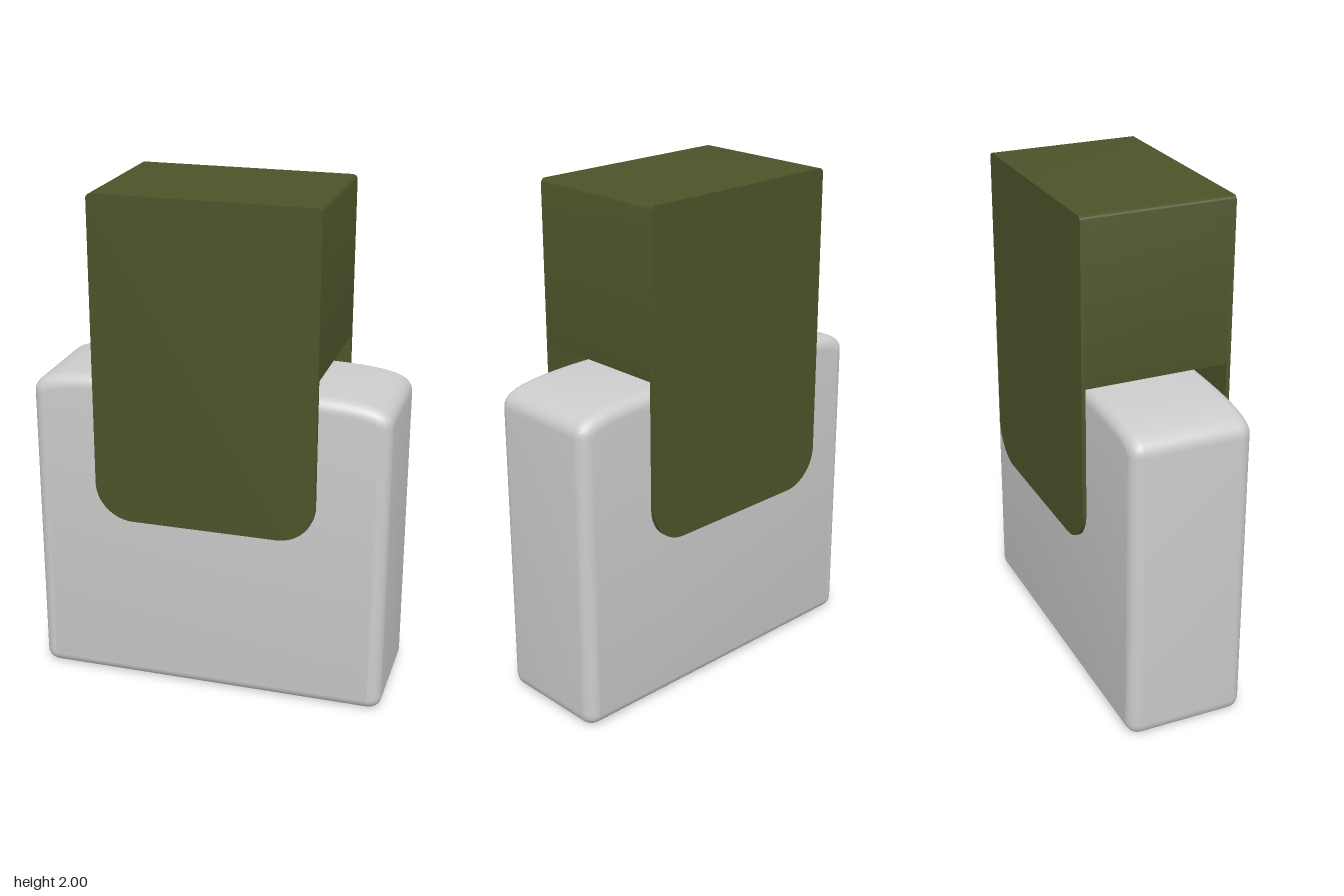
import * as THREE from 'three';
import { toCreasedNormals } from 'three/addons/utils/BufferGeometryUtils.js';

const olive = new THREE.MeshStandardMaterial({ color: 0x4b5329 });
olive.name = 'olive';
const paleGrey = new THREE.MeshStandardMaterial({ color: 0xcccccc });
paleGrey.name = 'pale grey';

function addPart(group, name, geometry, material) {
  const mesh = new THREE.Mesh(geometry, material);
  mesh.name = name;
  group.add(mesh);
  return mesh;
}

// Front outline of the bottle: small bottom corners, softly domed shoulders
function bottleOutline() {
  const w = 0.705, r = 0.06;
  const s = new THREE.Shape();
  s.moveTo(-w + r, 0);
  s.lineTo(w - r, 0);
  s.quadraticCurveTo(w, 0, w, r);
  s.lineTo(w, 1.19);
  s.bezierCurveTo(w, 1.25, 0.66, 1.288, 0.32, 1.288);
  s.lineTo(-0.32, 1.288);
  s.bezierCurveTo(-0.66, 1.288, -w, 1.25, -w, 1.19);
  s.lineTo(-w, r);
  s.quadraticCurveTo(-w, 0, -w + r, 0);
  return s;
}

// Cap plate: tight top corners, large round bottom corners
function flapOutline() {
  const w = 0.437, top = 2, bottom = 0.715, r = 0.15, t = 0.02;
  const s = new THREE.Shape();
  s.moveTo(-w + r, bottom);
  s.lineTo(w - r, bottom);
  s.absarc(w - r, bottom + r, r, -Math.PI / 2, 0);
  s.lineTo(w, top - t);
  s.absarc(w - t, top - t, t, 0, Math.PI / 2);
  s.lineTo(-w + t, top);
  s.absarc(-w + t, top - t, t, Math.PI / 2, Math.PI);
  s.lineTo(-w, bottom + r);
  s.absarc(-w + r, bottom + r, r, Math.PI, Math.PI * 1.5);
  return s;
}

// Thin arch forming the cap's top and side walls, open underneath
function sleeveOutline() {
  const w = 0.437, top = 2, bottom = 1.365, t = 0.02, wall = 0.016;
  const s = new THREE.Shape();
  s.moveTo(w - wall, bottom);
  s.lineTo(w, bottom);
  s.lineTo(w, top - t);
  s.absarc(w - t, top - t, t, 0, Math.PI / 2);
  s.lineTo(-w + t, top);
  s.absarc(-w + t, top - t, t, Math.PI / 2, Math.PI);
  s.lineTo(-w, bottom);
  s.lineTo(-w + wall, bottom);
  s.lineTo(-w + wall, top - wall);
  s.lineTo(w - wall, top - wall);
  return s;
}

function extrude(shape, depth) {
  const g = new THREE.ExtrudeGeometry(shape, { depth, bevelEnabled: false, curveSegments: 12 });
  g.translate(0, 0, -depth / 2);
  return toCreasedNormals(g, 0.6);
}

export function createModel() {
  const model = new THREE.Group();
  model.name = 'bottle';
  const bottleZ = 0.019;

  // Bottle body with all edges rounded
  const bevel = 0.05, depth = 0.477;
  const body = new THREE.ExtrudeGeometry(bottleOutline(), {
    depth: depth - 2 * bevel, curveSegments: 14,
    bevelThickness: bevel, bevelSize: bevel, bevelOffset: -bevel, bevelSegments: 8,
  });
  body.translate(0, 0, bevel - depth / 2);
  addPart(model, 'body', toCreasedNormals(body, 0.7), paleGrey).position.z = bottleZ;

  // Threaded neck: rounded rings stacked up inside the cap
  const profile = [new THREE.Vector2(0.185, 1.27), new THREE.Vector2(0.185, 1.295)];
  for (let i = 0; i < 4; i++) {
    const y = 1.296 + i * 0.042;
    for (const [r, dy] of [[0.2, 0], [0.21, 0.008], [0.212, 0.018], [0.21, 0.028], [0.2, 0.036]]) {
      profile.push(new THREE.Vector2(r, y + dy));
    }
  }
  profile.push(new THREE.Vector2(0.185, 1.47), new THREE.Vector2(0.185, 1.6), new THREE.Vector2(0, 1.6));
  const neck = toCreasedNormals(new THREE.LatheGeometry(profile, 40), 0.8);
  addPart(model, 'neck', neck, olive).position.z = bottleZ;

  // Cap: hollow sleeve between a long front and back flap
  const cap = new THREE.Group();
  cap.name = 'cap';
  const half = 0.297, thick = 0.016;
  addPart(cap, 'capSleeve', extrude(sleeveOutline(), 2 * (half - thick)), olive);
  for (const [name, side] of [['frontFlap', 1], ['backFlap', -1]]) {
    addPart(cap, name, extrude(flapOutline(), thick), olive).position.z = side * (half - thick / 2);
  }
  model.add(cap);

  return model;
}
